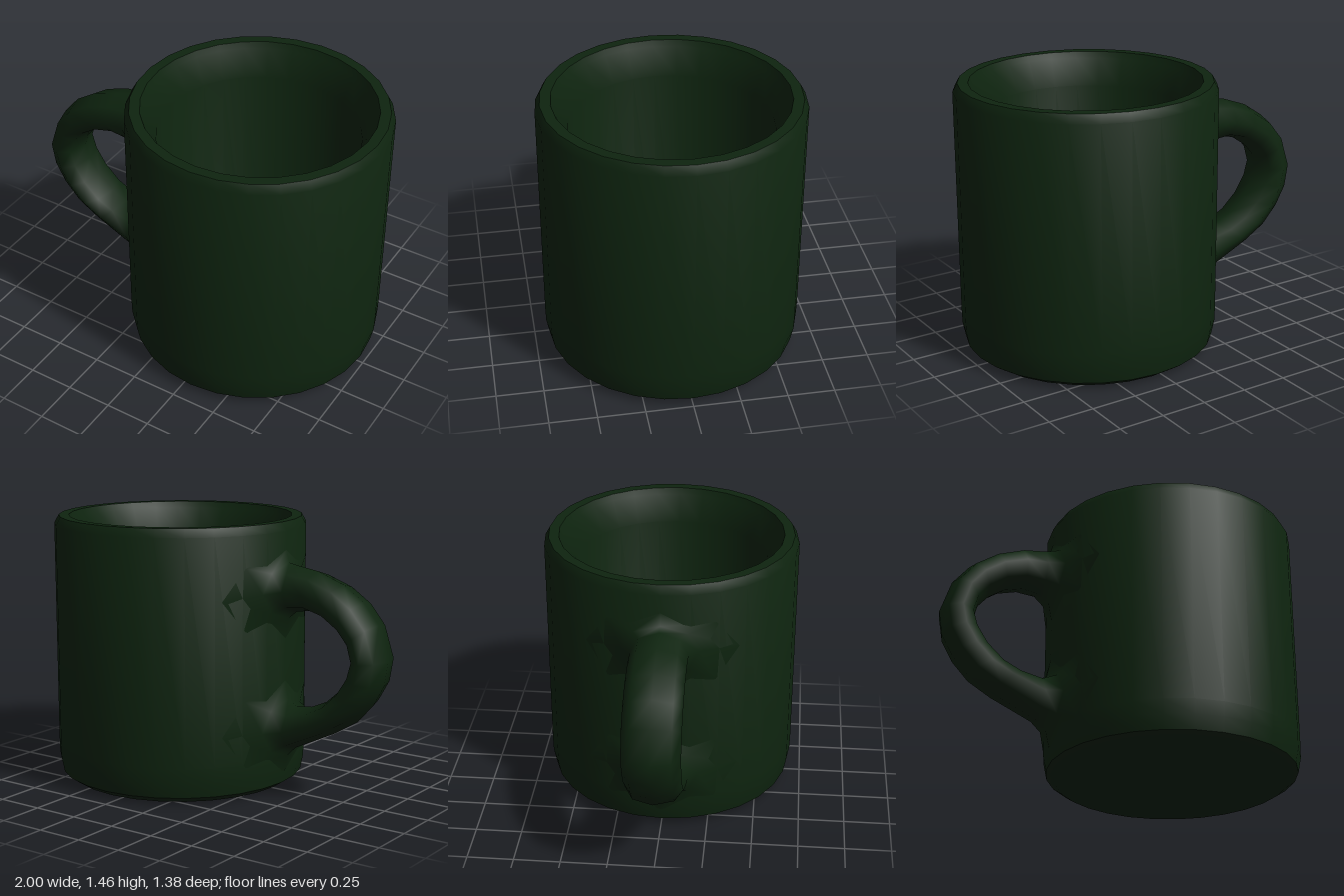
import * as THREE from 'three';
import { toCreasedNormals } from 'three/addons/utils/BufferGeometryUtils.js';

const CUP_X = 0.31;
const CUP_R = 0.69;
const SIDES = 8;

// Handle stations, top to bottom: outer x, outer y, inner x, inner y, half width
const STATIONS = [
  [-0.38, 1.31, -0.38, 0.84, 0.40],
  [-0.40, 1.245, -0.40, 0.95, 0.20],
  [-0.45, 1.235, -0.45, 0.99, 0.15],
  [-0.58, 1.215, -0.55, 1.005, 0.15],
  [-0.73, 1.16, -0.65, 0.98, 0.15],
  [-0.85, 1.08, -0.74, 0.92, 0.15],
  [-0.94, 0.97, -0.795, 0.855, 0.15],
  [-1.0, 0.79, -0.815, 0.78, 0.15],
  [-0.98, 0.66, -0.79, 0.70, 0.15],
  [-0.92, 0.55, -0.73, 0.61, 0.15],
  [-0.83, 0.45, -0.64, 0.53, 0.15],
  [-0.70, 0.37, -0.55, 0.49, 0.15],
  [-0.45, 0.25, -0.455, 0.48, 0.15],
  [-0.40, 0.20, -0.40, 0.51, 0.20],
  [-0.38, 0.11, -0.38, 0.61, 0.40],
];

// Loft of elliptical sections whose flared ends wrap onto the cup wall
function handleGeometry() {
  const positions = [];
  const index = [];
  STATIONS.forEach(([ox, oy, ix, iy, halfWidth], s) => {
    const wraps = halfWidth > 0.15;
    for (let k = 0; k < SIDES; k++) {
      const a = (k / SIDES) * Math.PI * 2;
      const c = Math.cos(a) / 2;
      const z = Math.sin(a) * halfWidth;
      const bow = wraps ? CUP_R - Math.sqrt(CUP_R * CUP_R - z * z) : 0;
      positions.push((ox + ix) / 2 + (ox - ix) * c + bow, (oy + iy) / 2 + (oy - iy) * c, z);
      if (s < STATIONS.length - 1) {
        const p = s * SIDES + k;
        const q = s * SIDES + (k + 1) % SIDES;
        index.push(p, p + SIDES, q, q, p + SIDES, q + SIDES);
      }
    }
  });
  const geometry = new THREE.BufferGeometry();
  geometry.setAttribute('position', new THREE.Float32BufferAttribute(positions, 3));
  geometry.setIndex(index);
  geometry.computeVertexNormals();
  return geometry;
}

export function createModel() {
  const group = new THREE.Group();
  group.name = 'mug';
  const glaze = new THREE.MeshStandardMaterial({ color: 0x0e240f, side: THREE.DoubleSide });
  glaze.name = 'dark green glaze';

  // Cup: underside, rounded foot, outer wall, rim, sloped lip, inner wall and floor
  const profile = [
    [0, 0], [0.62, 0.005], [0.672, 0.04], [0.688, 0.12], [0.69, 0.2],
    [0.69, 1.41], [0.665, 1.455], [0.61, 1.455], [0.595, 1.42],
    [0.53, 1.28], [0.52, 0.2], [0.48, 0.13], [0, 0.12],
  ].map(([r, y]) => new THREE.Vector2(r, y));
  const cup = new THREE.Mesh(toCreasedNormals(new THREE.LatheGeometry(profile, 28), 0.65), glaze);
  cup.name = 'cup';
  cup.position.x = CUP_X;

  // Handle on the right side of the cup
  const handle = new THREE.Mesh(handleGeometry(), glaze);
  handle.name = 'handle';

  group.add(cup, handle);
  return group;
}
